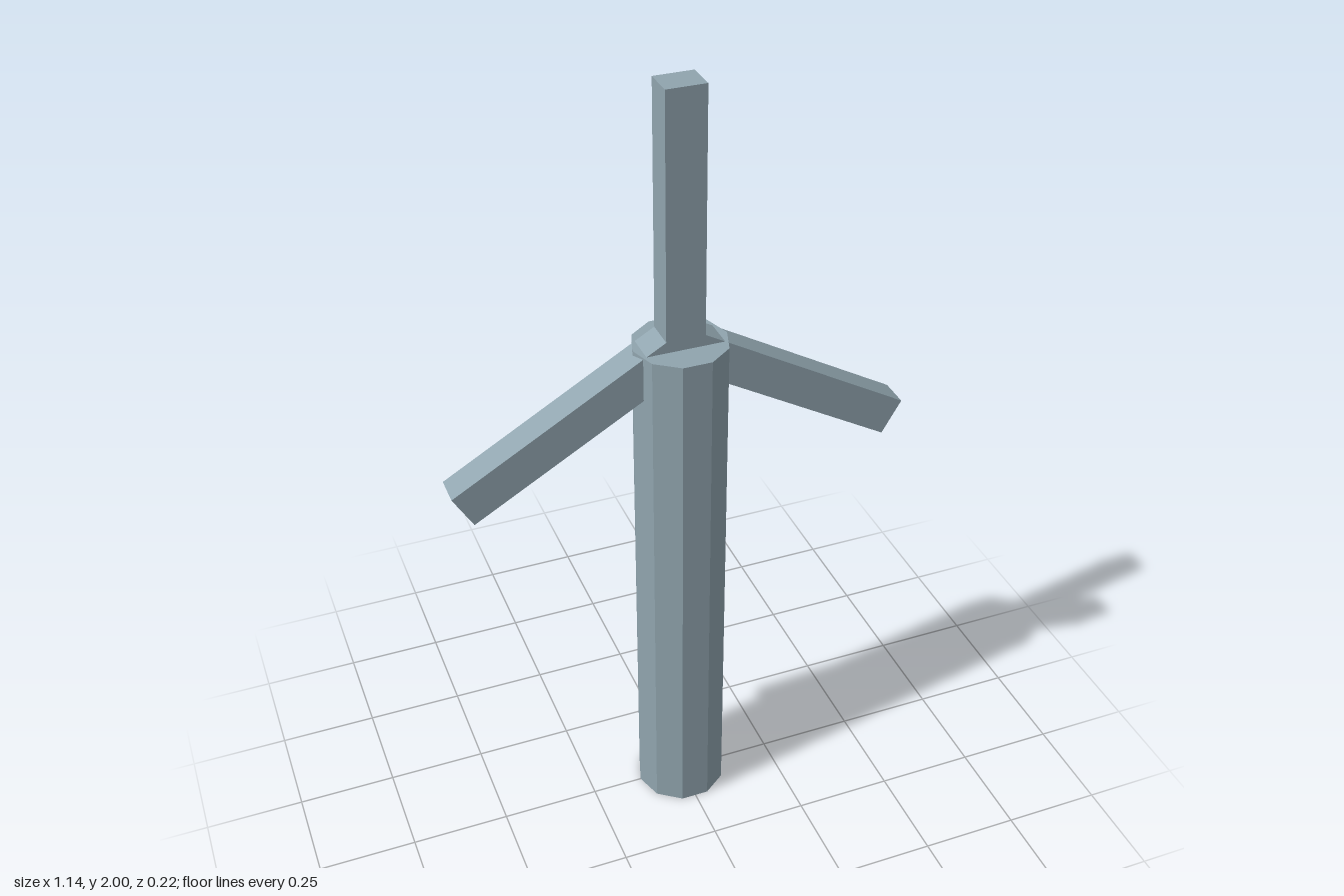
import * as THREE from 'three';

export function createModel() {
  const model = new THREE.Group();
  model.name = 'windTurbine';
  const slate = new THREE.MeshStandardMaterial({ color: 0x90a4ae, flatShading: true });
  slate.name = 'slate grey';

  const towerHeight = 1.37;
  const centreX = -0.002;

  // Ten-sided tower with corners on the x axis
  const tower = new THREE.Mesh(
    new THREE.CylinderGeometry(0.116, 0.116, towerHeight, 10, 1, false, Math.PI / 2), slate);
  tower.name = 'tower';
  tower.position.set(centreX, towerHeight / 2, 0);
  model.add(tower);

  // Three equal blades radiating from the centre of the tower top
  const bladeLength = 2 - towerHeight;
  const bladeGeometry = new THREE.BoxGeometry(0.096, bladeLength, 0.077);
  bladeGeometry.translate(0, bladeLength / 2, 0);
  ['topBlade', 'leftBlade', 'rightBlade'].forEach((name, i) => {
    const blade = new THREE.Mesh(bladeGeometry, slate);
    blade.name = name;
    blade.position.set(centreX, towerHeight, -0.001);
    blade.rotation.z = -i * Math.PI * 2 / 3;
    model.add(blade);
  });

  return model;
}
